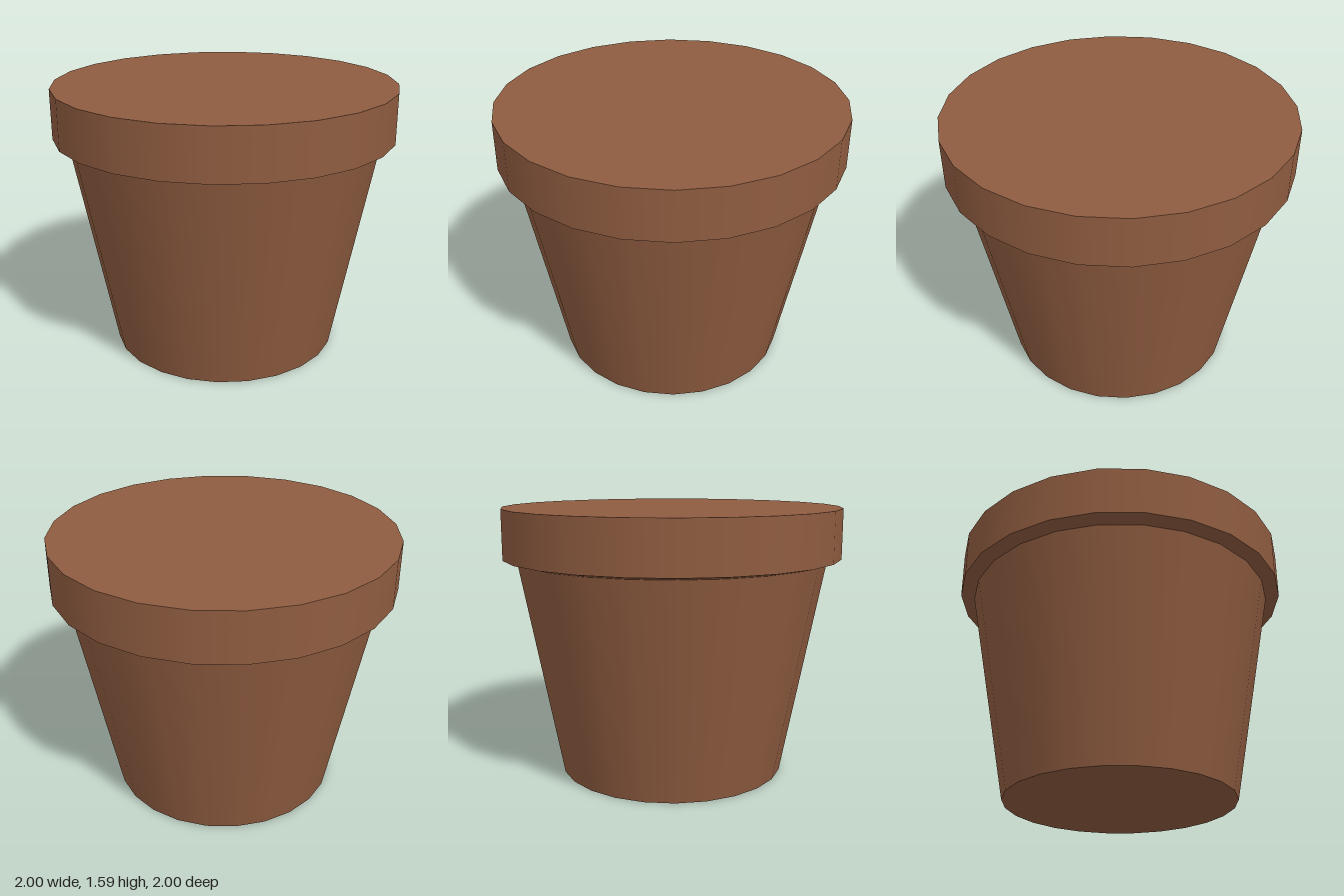
import * as THREE from 'three';

const SIDES = 24;

export function createModel() {
  const group = new THREE.Group();
  group.name = 'flowerPot';
  const terracotta = new THREE.MeshStandardMaterial({ color: 0x8f5c40 });
  terracotta.name = 'terracotta';

  const add = (name, geometry, y) => {
    const mesh = new THREE.Mesh(geometry, terracotta);
    mesh.name = name;
    mesh.position.y = y;
    group.add(mesh);
  };

  // Open conical wall between two heights, smooth around the sides
  const wall = (name, rBottom, yBottom, rTop, yTop) =>
    add(name, new THREE.CylinderGeometry(rTop, rBottom, yTop - yBottom, SIDES, 1, true), (yBottom + yTop) / 2);

  // Flat round face, looking up (1) or down (-1)
  const disc = (name, radius, y, facing) =>
    add(name, new THREE.CircleGeometry(radius, SIDES).rotateX(-facing * Math.PI / 2), y);

  disc('base', 0.675, 0, -1);
  wall('taperedBody', 0.675, 0, 0.917, 1.28);
  // Slightly sloped underside of the rim
  wall('rimUnderside', 0.917, 1.28, 1, 1.3);
  wall('rim', 1, 1.3, 1, 1.59);
  disc('topFace', 1, 1.59, 1);

  return group;
}
